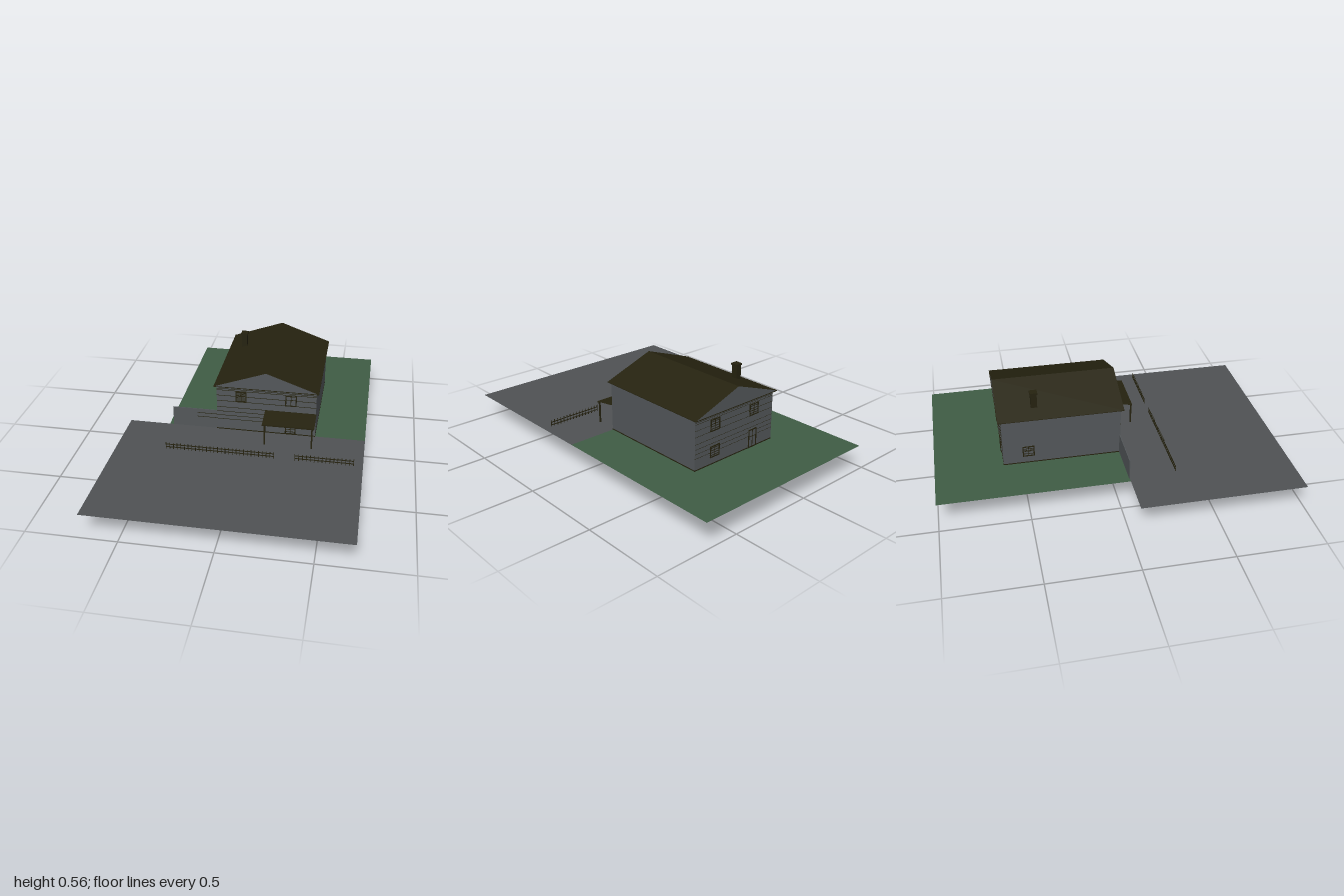
import * as THREE from 'three';

const mat = (name, color, side = THREE.FrontSide) => {
  const m = new THREE.MeshStandardMaterial({ color, side });
  m.name = name;
  return m;
};

export function createModel() {
  const model = new THREE.Group();
  model.name = 'houseWithYard';
  const siding = mat('greySiding', 0x53575a, THREE.DoubleSide);
  const paving = mat('greyPaving', 0x4f5254, THREE.DoubleSide);
  const grass = mat('grassGreen', 0x3f5c45, THREE.DoubleSide);
  const brown = mat('darkBrown', 0x25220f, THREE.DoubleSide);

  const G = 0.147; // ground level
  const L = -0.17, R = 0.41, MID = 0.12, FRONT = 0.065, BACK = -0.612, EAVE = 0.437, RIDGE = 0.545;

  // Box given by its two opposite corners
  function box(name, m, x0, x1, y0, y1, z0, z1, parent = model) {
    const mesh = new THREE.Mesh(new THREE.BoxGeometry(x1 - x0, y1 - y0, z1 - z0), m);
    mesh.position.set((x0 + x1) / 2, (y0 + y1) / 2, (z0 + z1) / 2);
    mesh.name = name;
    parent.add(mesh);
    return mesh;
  }
  // Flat four-cornered sheet
  function sheet(name, m, a, b, c, d) {
    const g = new THREE.BufferGeometry();
    g.setAttribute('position', new THREE.Float32BufferAttribute([...a, ...b, ...c, ...d], 3));
    g.setIndex([0, 1, 2, 0, 2, 3]);
    g.computeVertexNormals();
    const mesh = new THREE.Mesh(g, m);
    mesh.name = name;
    model.add(mesh);
  }
  const flat = (name, m, x0, x1, z0, z1, y) =>
    sheet(name, m, [x0, y, z1], [x1, y, z1], [x1, y, z0], [x0, y, z0]);

  // Ground
  flat('lawn', grass, -0.46, 0.7, -1, 0.062, G);
  flat('pavement', paving, -0.7, 0.7, 0.062, 1, G);

  // Basement, one half grey and one half brown
  box('basementLeft', siding, L, MID, 0.002, G - 0.004, BACK, FRONT);
  box('basementRight', brown, MID, R, 0.002, G - 0.004, BACK, FRONT);
  box('basementFloor', siding, L, R, 0, 0.002, BACK, FRONT);
  box('basementFrontTrim', brown, L, R, 0.001, 0.006, FRONT, FRONT + 0.001);

  // House body with pointed gable ends
  const outline = new THREE.Shape();
  outline.moveTo(L, G - 0.004);
  outline.lineTo(R, G - 0.004);
  outline.lineTo(R, EAVE);
  outline.lineTo(MID, RIDGE - 0.004);
  outline.lineTo(L, EAVE);
  outline.closePath();
  const body = new THREE.Mesh(
    new THREE.ExtrudeGeometry(outline, { depth: FRONT - BACK, bevelEnabled: false }), siding);
  body.position.z = BACK;
  body.name = 'houseWalls';
  model.add(body);
  box('foundationBand', brown, L - 0.001, R + 0.001, G - 0.007, G + 0.006, BACK - 0.001, FRONT + 0.001);

  // Roof slopes and eave boards
  const rf = 0.083, rb = -0.63, el = -0.185, er = 0.423;
  sheet('roofLeft', brown, [el, EAVE, rf], [MID, RIDGE, rf], [MID, RIDGE, rb], [el, EAVE, rb]);
  sheet('roofRight', brown, [MID, RIDGE, rf], [er, EAVE, rf], [er, EAVE, rb], [MID, RIDGE, rb]);
  for (const [z0, z1] of [[FRONT, rf], [rb, BACK]]) box('gableEave', brown, el, er, EAVE - 0.003, EAVE + 0.001, z0, z1);
  for (const [x0, x1] of [[el, L], [R, er]]) box('sideEave', brown, x0, x1, EAVE - 0.003, EAVE, rb, rf);
  // Grey gable faces set out to the roof edge
  for (const z of [rf - 0.002, rb + 0.002]) {
    sheet('gable', siding, [el + 0.006, EAVE + 0.001, z], [er - 0.006, EAVE + 0.001, z],
      [MID, RIDGE - 0.002, z], [MID, RIDGE - 0.002, z]);
  }

  // Chimney
  box('chimney', brown, -0.103, -0.07, 0.44, 0.552, -0.434, -0.398);
  box('chimneyCap', brown, -0.107, -0.066, 0.55, 0.56, -0.438, -0.394);

  // Siding joints on the front and back
  for (const y of [0.418, 0.408, 0.373, 0.338, 0.297, 0.268, 0.242, 0.217]) {
    box('frontSidingJoint', brown, L, R, y - 0.0015, y + 0.0015, FRONT, FRONT + 0.0008);
    box('backSidingJoint', brown, L, R, y - 0.0008, y + 0.0008, BACK - 0.0008, BACK);
  }

  // Garden wall beside the house
  box('gardenWall', siding, -0.435, L, G, 0.267, 0.058, 0.062);
  for (const y of [0.217, 0.242]) box('gardenWallJoint', brown, -0.29, L, y - 0.0015, y + 0.0015, 0.062, 0.063);

  // Windows and doors: a pane, a frame, crossed bars and optional slats, facing +z
  function opening(name, x, y, z, w, h, { turn = 0, slats = 0, bars = true, panel = 0 } = {}) {
    const g = new THREE.Group();
    g.name = name;
    g.position.set(x, y, z);
    g.rotation.y = turn;
    const a = w / 2, b = h / 2, t = 0.006;
    box('pane', siding, -a, a, -b, b, 0, 0.002, g);
    for (const s of [-1, 1]) {
      const cx = s * (a - t / 2), cy = s * (b - t / 2);
      box('frameSide', brown, cx - t / 2, cx + t / 2, -b, b, 0, 0.005, g);
      box('frameEnd', brown, -a, a, cy - t / 2, cy + t / 2, 0, 0.005, g);
    }
    if (bars) {
      box('uprightBar', brown, -0.0015, 0.0015, -b, b, 0, 0.004, g);
      box('crossBar', brown, -a, a, b * 0.2 - 0.0015, b * 0.2 + 0.0015, 0, 0.004, g);
    }
    for (let i = 1; i <= slats; i++) {
      const sy = b - panel - (i * (h - panel)) / (slats + 1) + panel;
      box('slat', brown, -a, a, sy - 0.0018, sy + 0.0018, 0, 0.003, g);
    }
    model.add(g);
  }
  const f = FRONT + 0.0005, k = BACK - 0.0005, back = { turn: Math.PI };
  opening('upperShutteredWindow', -0.026, 0.372, f, 0.065, 0.068, { slats: 8 });
  opening('upperWindow', 0.264, 0.372, f, 0.066, 0.068);
  opening('porchWindow', 0.359, 0.226, f, 0.066, 0.062);
  box('porchCurtain', brown, 0.367, 0.392, 0.2, 0.252, f, f + 0.0035);
  opening('frontDoor', 0.264, 0.206, f, 0.062, 0.108, { slats: 6 });
  opening('backUpperWindow', 0.27, 0.372, k, 0.068, 0.068, { ...back, slats: 4 });
  opening('backUpperWindow', -0.02, 0.372, k, 0.068, 0.068, { ...back, slats: 4 });
  opening('backLowerWindow', 0.27, 0.222, k, 0.068, 0.066, { ...back, slats: 4 });
  opening('backDoor', -0.015, 0.203, k, 0.062, 0.108, back);
  opening('sideWindow', L - 0.0005, 0.226, -0.467, 0.068, 0.066, { turn: -Math.PI / 2, slats: 3 });

  // Porch: slanted roof, posts, beam and slab
  sheet('porchRoof', brown, [0.115, 0.277, 0.2], [0.413, 0.277, 0.2], [0.413, 0.297, 0.066], [0.115, 0.297, 0.066]);
  box('porchBeam', brown, 0.115, 0.413, 0.273, 0.279, 0.191, 0.2);
  for (const x of [0.131, 0.401]) box('porchPost', brown, x - 0.004, x + 0.004, G, 0.277, 0.19, 0.198);
  box('porchSlab', brown, 0.115, 0.41, 0.1435, 0.1462, FRONT, 0.2);
  box('backStep', brown, -0.1, 0.055, 0.1435, 0.1462, -0.77, BACK);

  // Picket fences on either side of the entrance gap
  function fence(x0, x1) {
    const g = new THREE.Group();
    g.name = 'picketFence';
    for (const y of [0.158, 0.175]) box('rail', brown, x0, x1, y - 0.0022, y + 0.0022, 0.326, 0.329, g);
    const n = Math.round((x1 - x0) / 0.0215);
    for (let i = 0; i <= n; i++) {
      const x = x0 + ((x1 - x0) * i) / n;
      box('picket', brown, x - 0.0018, x + 0.0018, G, 0.187, 0.3285, 0.331, g);
    }
    model.add(g);
  }
  fence(-0.413, 0.204);
  fence(0.322, 0.648);

  return model;
}
